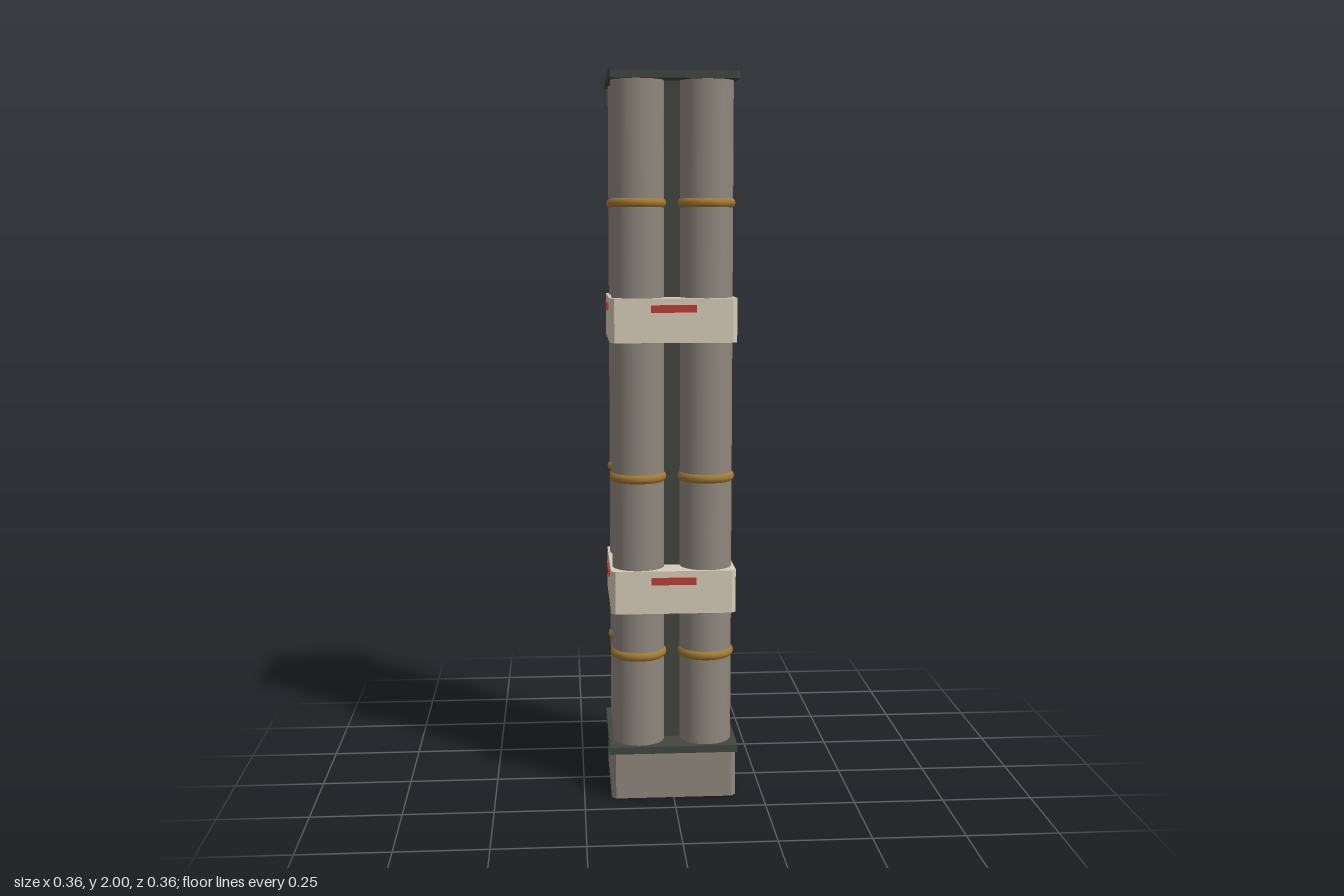
import * as THREE from 'three';

const paint = (color) => new THREE.MeshStandardMaterial({ color });
const STONE = paint(0x8f877e);
const DARK = paint(0x434640);
const CREAM = paint(0xd6ccb8);
const BRASS = paint(0xa37a34);
const RED = paint(0xc03a34);

// Square slab from y0 to y1, with small bevelled vertical corners
function slab(name, half, y0, y1, bevel, material) {
  const a = half, b = half - bevel;
  const shape = new THREE.Shape([
    [b, -a], [a, -b], [a, b], [b, a], [-b, a], [-a, b], [-a, -b], [-b, -a],
  ].map(([x, y]) => new THREE.Vector2(x, y)));
  const geometry = new THREE.ExtrudeGeometry(shape, { depth: y1 - y0, bevelEnabled: false });
  geometry.rotateX(-Math.PI / 2);
  const mesh = new THREE.Mesh(geometry, material);
  mesh.name = name;
  mesh.position.y = y0;
  return mesh;
}

function box(name, w, h, d, y, material) {
  const mesh = new THREE.Mesh(new THREE.BoxGeometry(w, h, d), material);
  mesh.name = name;
  mesh.position.y = y;
  return mesh;
}

export function createModel() {
  const model = new THREE.Group();
  model.name = 'clusteredPillar';

  // Plinth, plates and inner core
  model.add(slab('base', 0.174, 0, 0.132, 0.012, STONE));
  model.add(box('basePlate', 0.358, 0.02, 0.358, 0.14, DARK));
  model.add(slab('topPlate', 0.175, 1.98, 2, 0.006, DARK));
  model.add(box('core', 0.18, 1.9, 0.18, 1.04, DARK));

  // Four round columns, each with three rounded brass rings
  const shaft = new THREE.CylinderGeometry(0.0725, 0.0725, 1.84, 32, 1, true);
  const ring = new THREE.TorusGeometry(0.064, 0.015, 12, 32).rotateX(Math.PI / 2);
  for (const x of [-1, 1]) {
    for (const z of [-1, 1]) {
      const column = new THREE.Group();
      column.name = (z > 0 ? 'front' : 'back') + (x > 0 ? 'Left' : 'Right') + 'Column';
      column.position.set(x * 0.0945, 0, z * 0.0945);
      const tube = new THREE.Mesh(shaft, STONE);
      tube.name = 'shaft';
      tube.position.y = 1.065;
      column.add(tube);
      for (const y of [0.405, 0.905, 1.655]) {
        const mesh = new THREE.Mesh(ring, BRASS);
        mesh.name = 'ring';
        mesh.position.y = y;
        column.add(mesh);
      }
      model.add(column);
    }
  }

  // Cream collars with a red strip on each side
  for (const y of [0.53, 1.28]) {
    const collar = new THREE.Group();
    collar.name = y < 1 ? 'lowerCollar' : 'upperCollar';
    collar.add(slab('collarBlock', 0.173, y, y + 0.12, 0.012, CREAM));
    for (let i = 0; i < 4; i++) {
      const side = new THREE.Group();
      side.name = 'stripSide';
      side.rotation.y = i * Math.PI / 2;
      const strip = box('redStrip', 0.124, 0.02, 0.012, y + 0.092, RED);
      strip.position.z = 0.172;
      side.add(strip);
      collar.add(side);
    }
    model.add(collar);
  }
  return model;
}
